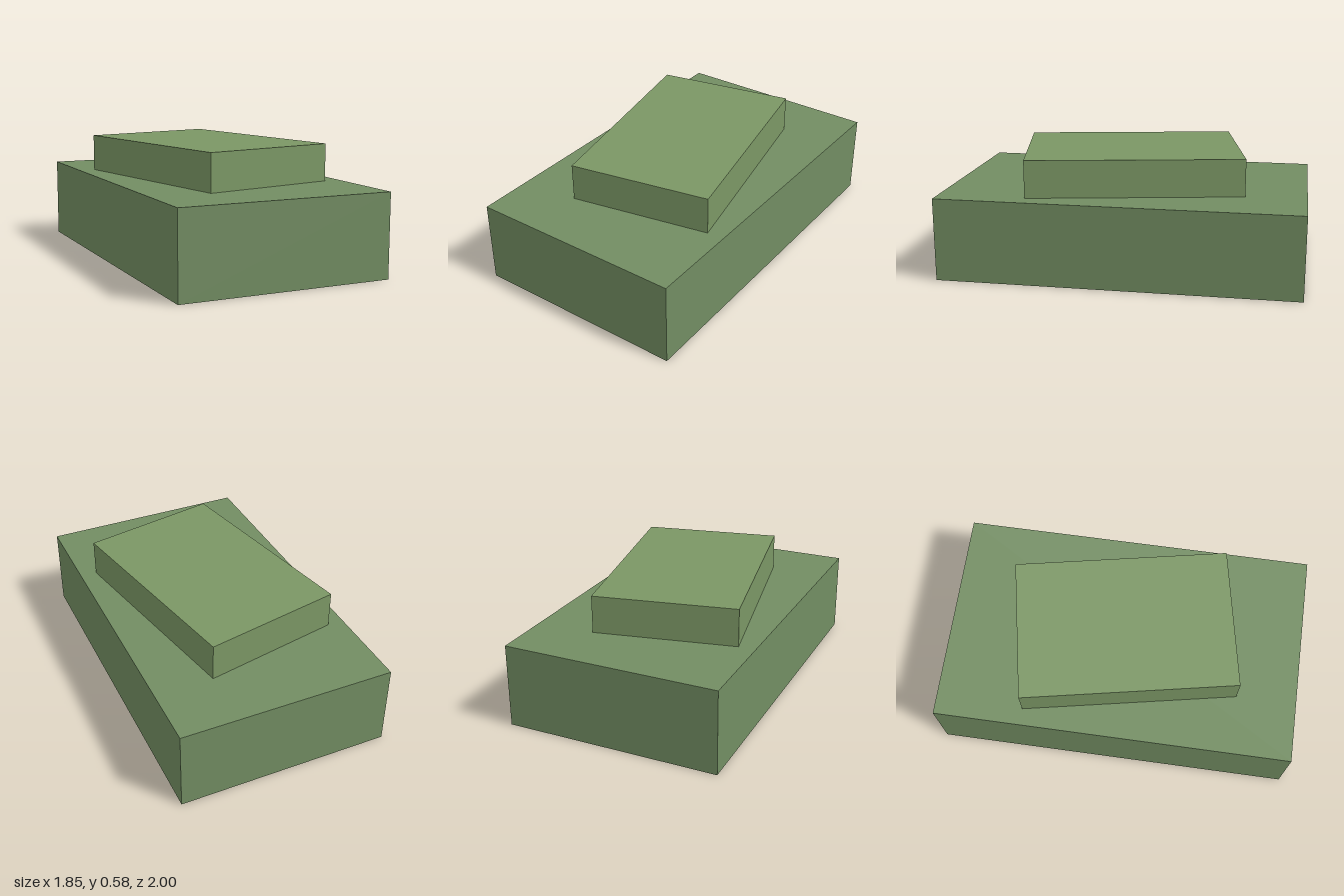
import * as THREE from 'three';

// A box standing on height y, turned about the vertical axis
function block(name, width, height, depth, y, turn, color) {
  const mesh = new THREE.Mesh(
    new THREE.BoxGeometry(width, height, depth),
    new THREE.MeshStandardMaterial({ color })
  );
  mesh.name = name;
  mesh.position.y = y + height / 2;
  mesh.rotation.y = turn;
  return mesh;
}

export function createModel() {
  const model = new THREE.Group();
  model.name = 'steppedBlocks';
  model.add(
    block('lowerBlock', 1.03, 0.4, 1.723, 0, 0.633, 0x728d62), // wide base slab
    block('upperBlock', 0.68, 0.18, 1.033, 0.4, 0.83, 0x7b9765) // smaller slab, turned further
  );
  return model;
}
